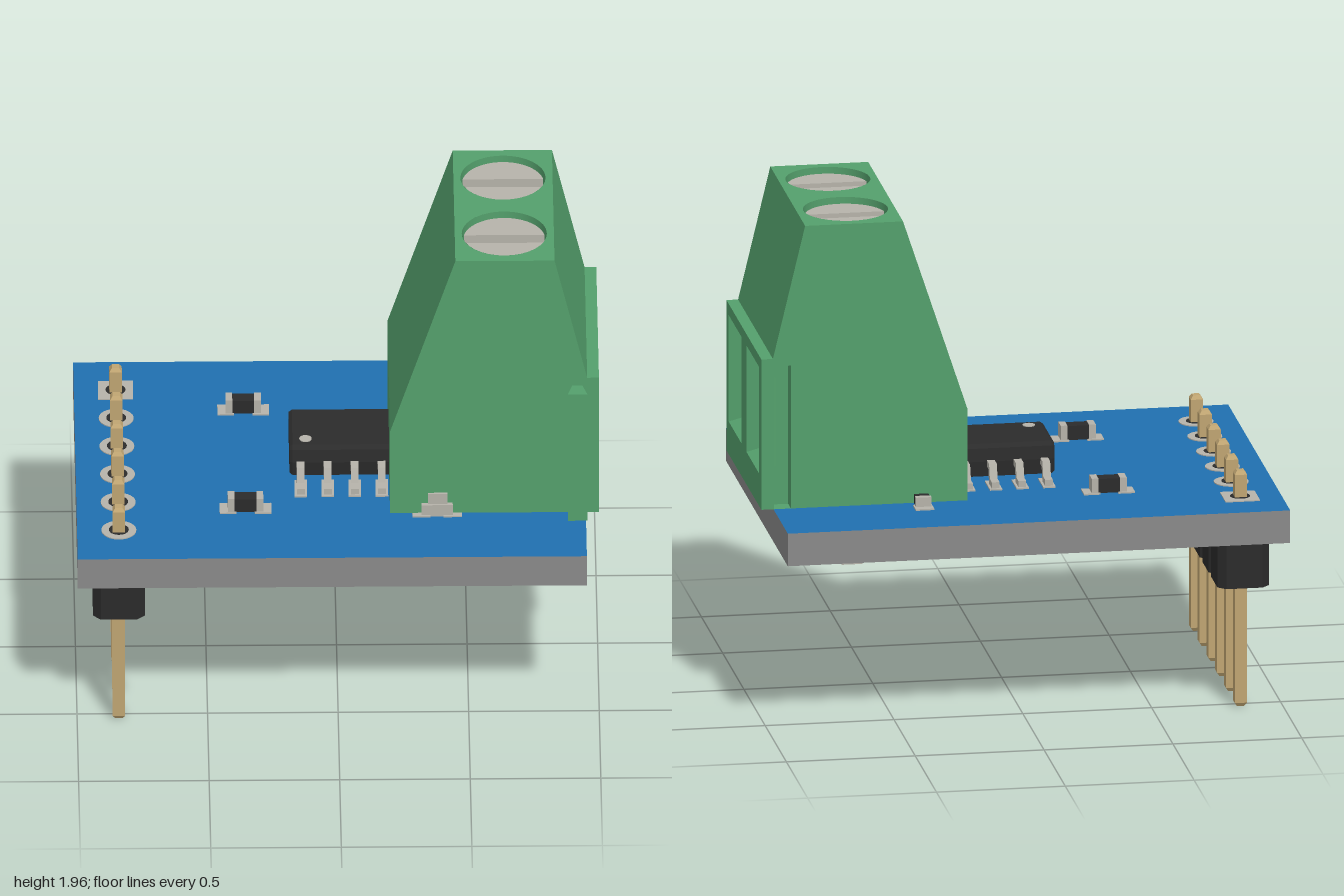
import * as THREE from 'three';

const mat = (name, color, side = THREE.FrontSide) => {
  const m = new THREE.MeshStandardMaterial({ color, side });
  m.name = name;
  return m;
};

export function createModel() {
  const root = new THREE.Group();
  root.name = 'terminalBreakoutBoard';
  const blue = mat('solderMaskBlue', 0x2070b0);
  const grey = mat('boardEdgeGrey', 0x8a8a8a);
  const green = mat('terminalGreen', 0x54a06c, THREE.DoubleSide);
  const metal = mat('tinMetal', 0xb6b3aa, THREE.DoubleSide);
  const gold = mat('pinGold', 0xc0a572);
  const black = mat('plasticBlack', 0x2b2b2b);
  const BOTTOM = 0.7, TOP = 0.83;

  const add = (parent, name, geo, m, x = 0, y = 0, z = 0) => {
    const mesh = new THREE.Mesh(geo, m);
    mesh.name = name;
    mesh.position.set(x, y, z);
    parent.add(mesh);
    return mesh;
  };
  const group = (name) => {
    const g = new THREE.Group();
    g.name = name;
    root.add(g);
    return g;
  };
  // box given by its low and high limits
  const box = (parent, name, m, x0, x1, y0, y1, z0, z1) =>
    add(parent, name, new THREE.BoxGeometry(x1 - x0, y1 - y0, z1 - z0), m,
      (x0 + x1) / 2, (y0 + y1) / 2, (z0 + z1) / 2);
  const polygon = (pts) => new THREE.Shape(pts.map(([x, y]) => new THREE.Vector2(x, y)));
  const rect = (x0, x1, y0, y1) => polygon([[x0, y0], [x1, y0], [x1, y1], [x0, y1]]);
  const disc = (parent, name, m, r, h, x, y, z, sides = 32) =>
    add(parent, name, new THREE.CylinderGeometry(r, r, h, sides), m, x, y, z);

  // Board: blue faces, bare edges
  const board = new THREE.BoxGeometry(1.95, TOP - BOTTOM, 1.46);
  add(root, 'circuitBoard', board, [grey, grey, blue, blue, grey, grey], -0.025, (TOP + BOTTOM) / 2, 0);

  // Pin header below the board
  const header = group('pinHeader');
  const hx = -0.84, pitch = 0.2073, c = 0.03, w = 0.1, d = pitch / 2;
  const cell = polygon([[-w, -d + c], [-w + c, -d], [w - c, -d], [w, -d + c],
    [w, d - c], [w - c, d], [-w + c, d], [-w, d - c]]);
  const cellGeo = new THREE.ExtrudeGeometry(cell, { depth: 0.2, bevelEnabled: false }).rotateX(-Math.PI / 2);
  const tip = (flip) => {
    const g = new THREE.CylinderGeometry(0.014 * Math.SQRT2, 0.024 * Math.SQRT2, 0.015, 4).rotateY(Math.PI / 4);
    return (flip ? g.rotateX(Math.PI) : g).toNonIndexed();
  };
  const topTip = tip(false), bottomTip = tip(true);
  topTip.computeVertexNormals();
  bottomTip.computeVertexNormals();
  for (let i = 0; i < 6; i++) {
    const z = (i - 2.5) * pitch;
    add(header, 'headerHousing', cellGeo, black, hx, 0.495, z);
    box(header, 'headerPin', gold, hx - 0.024, hx + 0.024, 0.015, 0.925, z - 0.024, z + 0.024);
    add(header, 'pinTopTip', topTip, gold, hx, 0.9325, z);
    add(header, 'pinBottomTip', bottomTip, gold, hx, 0.0075, z);
    for (const y of [TOP, BOTTOM]) {
      if (i === 0) box(header, 'squarePad', metal, hx - 0.067, hx + 0.067, y - 0.004, y + 0.004, z - 0.067, z + 0.067);
      else disc(header, 'roundPad', metal, 0.067, 0.008, hx, y, z);
      disc(header, 'pinHole', black, 0.038, 0.012, hx, y, z, 24);
    }
  }

  // Terminal block shell, one panel for each edge of its outline
  const block = group('terminalBlock');
  const Z = 0.41;
  const panel = (name, p, q, z0 = -Z, z1 = Z, holes = []) => {
    const len = Math.hypot(q[0] - p[0], q[1] - p[1]);
    const dx = (q[0] - p[0]) / len, dy = (q[1] - p[1]) / len;
    const s = rect(0, len, z0, z1);
    s.holes.push(...holes);
    const m = new THREE.Matrix4().makeBasis(
      new THREE.Vector3(dx, dy, 0), new THREE.Vector3(0, 0, 1), new THREE.Vector3(dy, -dx, 0));
    m.setPosition(p[0], p[1], 0);
    add(block, name, new THREE.ShapeGeometry(s, 32).applyMatrix4(m), green);
  };
  const base = 0.835;
  const outline = [[0.2, base], [1, base], [1, 1.435], [0.955, 1.435], [0.83, 1.96], [0.45, 1.96], [0.2, 1.2]];
  const sides = [1, -1];
  const wireHoles = sides.map((s) => rect(0.965 - base, 1.39 - base, s * 0.21 - 0.149, s * 0.21 + 0.149));
  const screwHoles = sides.map((s) => new THREE.Path().absarc(0.19, s * 0.207, 0.163, 0, Math.PI * 2));
  outline.forEach((p, i) => panel('blockPanel', p, outline[(i + 1) % outline.length], -Z, Z,
    i === 1 ? wireHoles : i === 4 ? screwHoles : []));
  add(block, 'blockFrontSide', new THREE.ShapeGeometry(polygon(outline)), green, 0, 0, Z);

  // Back side with the joining groove
  const g0 = 0.885, g1 = 0.95, gTop = 1.405, gz = -0.345;
  const notched = [outline[0], [g0, base], [g0, gTop], [g1, gTop], [g1, base], ...outline.slice(1)];
  add(block, 'blockBackSide', new THREE.ShapeGeometry(polygon(notched)).rotateY(Math.PI).scale(-1, 1, 1), green, 0, 0, -Z);
  block.children.at(-1).geometry = new THREE.ShapeGeometry(polygon(notched.map(([x, y]) => [-x, y]))).rotateY(Math.PI);
  add(block, 'grooveFloor', new THREE.ShapeGeometry(rect(-g1, -g0, base, gTop)).rotateY(Math.PI), green, 0, 0, gz);
  panel('grooveWall', [g0, base], [g0, gTop], -Z, gz);
  panel('grooveWall', [g0, gTop], [g1, gTop], -Z, gz);
  panel('grooveWall', [g1, gTop], [g1, base], -Z, gz);

  // Dovetail rib on the front side
  const rib = polygon([[0.897, -Z], [0.937, -Z], [0.955, -0.475], [0.88, -0.475]].reverse());
  add(block, 'dovetailRib', new THREE.ExtrudeGeometry(rib, { depth: 1.4 - base, bevelEnabled: false })
    .rotateX(-Math.PI / 2), green, 0, base, 0);

  // Four-walled passage between two rectangles [y0, y1, z0, z1] at xa and xb
  const passage = (name, m, xa, a, xb, b) => {
    const ring = (x, [y0, y1, z0, z1]) => [[x, y0, z0], [x, y0, z1], [x, y1, z1], [x, y1, z0]];
    const A = ring(xa, a), B = ring(xb, b), pos = [];
    for (let i = 0; i < 4; i++) {
      const j = (i + 1) % 4;
      for (const v of [A[i], A[j], B[j], A[i], B[j], B[i]]) pos.push(...v);
    }
    const geo = new THREE.BufferGeometry();
    geo.setAttribute('position', new THREE.Float32BufferAttribute(pos, 3));
    geo.computeVertexNormals();
    add(block, name, geo, m);
  };
  for (const s of sides) {
    // Wire entry
    const zc = s * 0.21, zs = s * 0.207;
    const outer = [0.965, 1.39, zc - 0.149, zc + 0.149];
    const throat = [1.025, 1.255, zs - 0.115, zs + 0.115];
    const inner = [1.032, 1.248, zs - 0.108, zs + 0.108];
    passage('wireFunnel', green, 1, outer, 0.82, throat);
    passage('clampRim', metal, 0.82, throat, 0.82, inner);
    passage('clampLiner', metal, 0.82, inner, 0.55, inner);
    add(block, 'clampBack', new THREE.PlaneGeometry(0.216, 0.216).rotateY(Math.PI / 2), green, 0.55, 1.14, zs);

    // Slotted screw in its recess
    add(block, 'screwRecess', new THREE.CylinderGeometry(0.163, 0.163, 0.12, 32, 1, true), green, 0.64, 1.9, zs);
    disc(block, 'screwCore', metal, 0.162, 0.06, 0.64, 1.87, zs);
    const a = Math.asin(0.03 / 0.157);
    const half = new THREE.Shape().absarc(0, 0, 0.157, a, Math.PI - a);
    const halfGeo = new THREE.ExtrudeGeometry(half, { depth: 0.035, bevelEnabled: false, curveSegments: 20 }).rotateX(-Math.PI / 2);
    for (const r of [0, Math.PI]) add(block, 'screwHeadHalf', halfGeo, metal, 0.64, 1.9, zs).rotation.y = r;

    // Solder leg and its pads
    box(block, 'terminalLeg', metal, 0.58, 0.66, 0.55, base, zs - 0.033, zs + 0.033);
    for (const y of [TOP, BOTTOM]) {
      if (s > 0) box(block, 'squareLegPad', metal, 0.52, 0.72, y - 0.004, y + 0.004, zs - 0.1, zs + 0.1);
      else disc(block, 'roundLegPad', metal, 0.1, 0.008, 0.62, y, zs);
    }
  }

  // Eight-legged chip
  const chip = group('chip');
  const bodyProfile = polygon([[-0.148, 0.85], [0.148, 0.85], [0.155, 0.91], [0.145, 0.96], [0.13, 0.975],
    [-0.13, 0.975], [-0.145, 0.96], [-0.155, 0.91]]);
  add(chip, 'chipBody', new THREE.ExtrudeGeometry(bodyProfile, {
    depth: 0.37, bevelThickness: 0.012, bevelSize: 0.008, bevelOffset: -0.008, bevelSegments: 1,
  }).rotateY(Math.PI / 2), black, -0.17, 0, 0);
  disc(chip, 'chipDot', metal, 0.024, 0.006, -0.12, 0.975, 0.088, 24);
  const lead = polygon([[0.14, 0.915], [0.205, 0.915], [0.225, 0.86], [0.27, 0.86], [0.27, 0.836],
    [0.205, 0.836], [0.185, 0.89], [0.14, 0.89]].reverse());
  const leadGeo = new THREE.ExtrudeGeometry(lead, { depth: 0.03, bevelEnabled: false })
    .translate(0, 0, -0.015).rotateY(-Math.PI / 2);
  for (let i = 0; i < 4; i++) {
    const x = 0.0155 + (i - 1.5) * 0.1035;
    for (const s of sides) {
      add(chip, 'chipLead', leadGeo, metal, x, 0, 0).rotation.y = s > 0 ? 0 : Math.PI;
      box(chip, 'chipPad', metal, x - 0.024, x + 0.024, TOP - 0.002, TOP + 0.006, s * 0.22 - 0.06, s * 0.22 + 0.06);
    }
  }

  // Small two-ended parts: dark middle, metal caps and pads
  const smallPart = (x, z, turn, h = 0.06) => {
    const g = group('smallComponent');
    g.position.set(x, TOP, z);
    g.rotation.y = turn;
    box(g, 'componentBody', black, -0.043, 0.043, 0.004, h, -0.028, 0.028);
    for (const s of sides) {
      box(g, 'componentCap', metal, s * 0.055 - 0.013, s * 0.055 + 0.013, 0.003, h + 0.003, -0.03, 0.03);
      box(g, 'componentPad', metal, s * 0.067 - 0.032, s * 0.067 + 0.032, -0.002, 0.006, -0.036, 0.036);
    }
  };
  smallPart(-0.353, 0.365, 0);
  smallPart(-0.353, -0.365, 0);
  smallPart(0.38, -0.405, Math.PI / 2, 0.04);

  // Stepped metal tab at the foot of the block
  const tab = group('metalTab');
  box(tab, 'tabBase', metal, 0.32, 0.44, TOP, 0.88, 0.36, 0.428);
  box(tab, 'tabTop', metal, 0.345, 0.42, 0.88, 0.925, 0.36, 0.42);
  for (const x of [0.285, 0.405]) box(tab, 'tabPad', metal, x, x + 0.07, TOP - 0.002, TOP + 0.006, 0.36, 0.435);

  return root;
}
